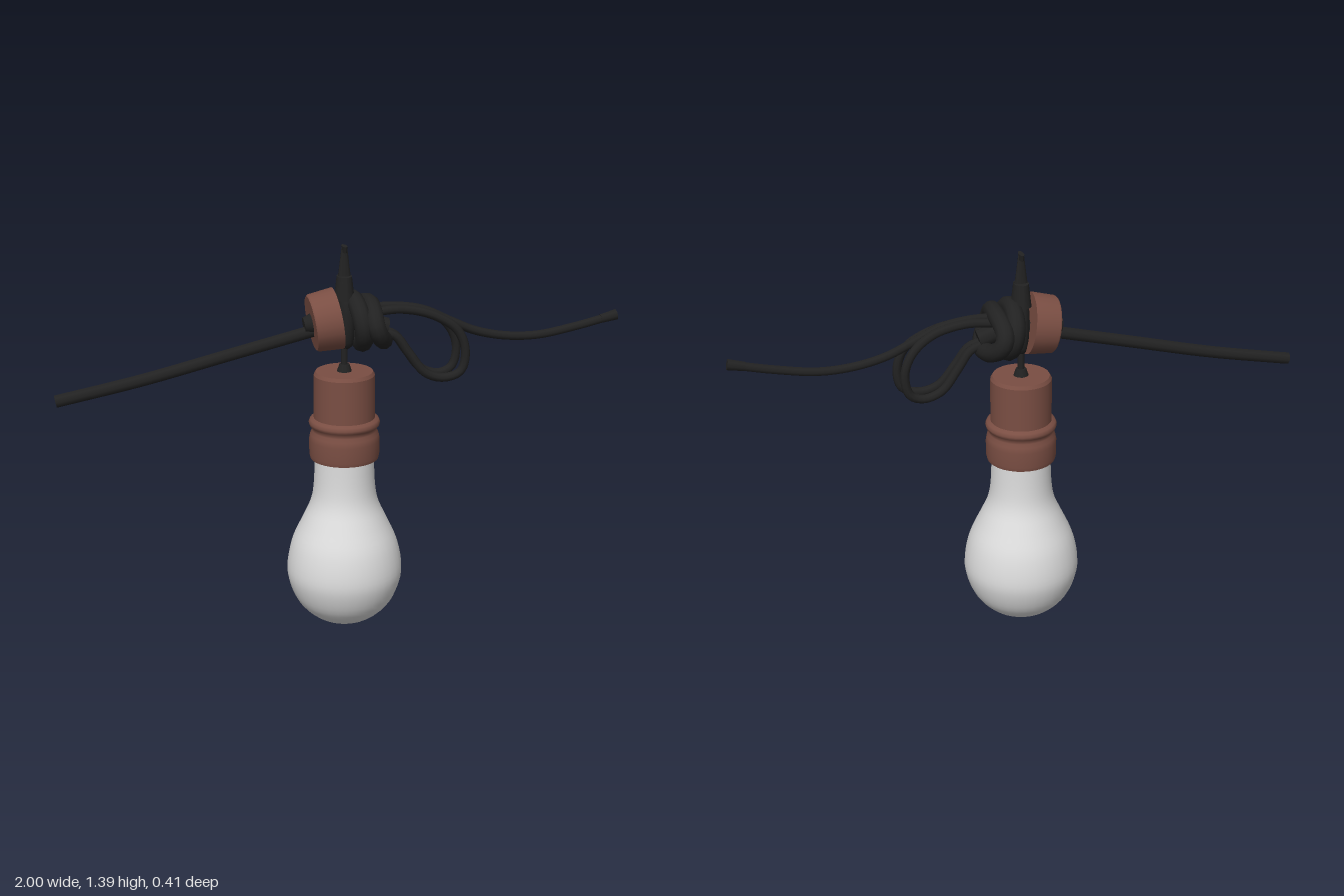
import * as THREE from 'three';

const rubber = new THREE.MeshStandardMaterial({ color: 0x222222 });
rubber.name = 'black rubber';
const bakelite = new THREE.MeshStandardMaterial({ color: 0x7a4e43 });
bakelite.name = 'brown bakelite';
const glass = new THREE.MeshStandardMaterial({ color: 0xdcdcdc });
glass.name = 'frosted glass';

const V = (x, y, z = 0) => new THREE.Vector3(x, y, z);

export function createModel() {
  const model = new THREE.Group();
  model.name = 'hangingBulb';

  const add = (name, geometry, material, parent = model) => {
    const mesh = new THREE.Mesh(geometry, material);
    mesh.name = name;
    parent.add(mesh);
    return mesh;
  };

  // Cable through points, with a flat disc on each end
  const cable = (name, points, radius, segments = 32, sides = 8) => {
    const group = new THREE.Group();
    group.name = name;
    model.add(group);
    const curve = new THREE.CatmullRomCurve3(points.map((p) => V(...p)));
    add(name + 'Run', new THREE.TubeGeometry(curve, segments, radius, sides), rubber, group);
    for (const t of [0, 1]) {
      const cap = add(name + 'End', new THREE.CircleGeometry(radius, sides), rubber, group);
      const out = curve.getTangent(t).multiplyScalar(t ? 1 : -1);
      cap.position.copy(curve.getPoint(t));
      cap.quaternion.setFromUnitVectors(V(0, 0, 1), out);
    }
  };

  // Closed oval coil of cable around the x axis
  const coil = (name, x, y, ry, rz, radius, lean, twist) => {
    const points = [];
    for (let i = 0; i < 16; i++) {
      const a = (i / 16) * Math.PI * 2;
      points.push(V(x + lean * Math.cos(a) + twist * Math.cos(2 * a), y + ry * Math.cos(a), rz * Math.sin(a)));
    }
    const curve = new THREE.CatmullRomCurve3(points, true);
    add(name, new THREE.TubeGeometry(curve, 40, radius, 10, true), rubber);
  };

  const lathe = (profile, sides) =>
    new THREE.LatheGeometry(profile.map((p) => new THREE.Vector2(...p)), sides);

  // Glass bulb
  const outline = new THREE.SplineCurve([
    [0, 0.003], [0.06, 0.01], [0.12, 0.04], [0.172, 0.095], [0.202, 0.17], [0.206, 0.235], [0.188, 0.32],
    [0.152, 0.4], [0.121, 0.47], [0.109, 0.54], [0.105, 0.65],
  ].map((p) => new THREE.Vector2(...p)));
  const glassProfile = outline.getPoints(36);
  glassProfile[0].set(0, 0);
  add('bulb', new THREE.LatheGeometry(glassProfile, 36), glass);

  // Socket: doubled profile points keep the edges crisp
  add('socket', lathe([
    [0.09, 0.636], [0.121, 0.636], [0.121, 0.636], [0.124, 0.65], [0.125, 0.705], [0.121, 0.725],
    [0.114, 0.738], [0.114, 0.75], [0.123, 0.757], [0.126, 0.768], [0.121, 0.779], [0.108, 0.785],
    [0.108, 0.785], [0.107, 0.94], [0.107, 0.94], [0.1, 0.952], [0.1, 0.952], [0, 0.952],
  ], 32), bakelite);

  // Cord rising from the socket
  add('socketGrommet', new THREE.CylinderGeometry(0.018, 0.028, 0.03, 12), rubber).position.y = 0.962;
  add('hangingCord', new THREE.CylinderGeometry(0.012, 0.012, 0.2, 8), rubber).position.y = 1.05;

  // Brown cup on the supply cable
  const cup = new THREE.Group();
  cup.name = 'cableCup';
  cup.position.set(-0.07, 1.136, 0);
  cup.rotation.z = -Math.PI / 2 + 0.15;
  model.add(cup);
  add('cupShell', lathe([
    [0, -0.046], [0.095, -0.046], [0.095, -0.046], [0.1, -0.04], [0.108, 0.046], [0.108, 0.046], [0, 0.046],
  ], 24), bakelite, cup);
  add('cupBoot', new THREE.CylinderGeometry(0.036, 0.026, 0.03, 12), rubber, cup).position.y = -0.058;

  // Supply cable on the model's right
  cable('supplyCable', [[-0.995, 0.909], [-0.7, 0.965], [-0.4, 1.035], [-0.1, 1.105]], 0.022, 20);

  // Knot: two wide coils and an upright wrap
  coil('innerCoil', 0.045, 1.13, 0.075, 0.1, 0.032, -0.012, 0);
  coil('outerCoil', 0.1, 1.125, 0.062, 0.122, 0.032, -0.022, 0.012);
  coil('uprightWrap', 0.004, 1.145, 0.09, 0.022, 0.028, 0, 0);
  cable('knotCore', [[-0.05, 1.13], [0.05, 1.13], [0.15, 1.1]], 0.034, 12);

  // Tapered tie standing on the knot
  const tieBase = add('tieBase', new THREE.CylinderGeometry(0.034, 0.046, 0.08, 12), rubber);
  tieBase.position.set(0, 1.25, 0);
  tieBase.scale.x = 0.78;
  const tieTip = add('tieTip', new THREE.CylinderGeometry(0.01, 0.024, 0.11, 10), rubber);
  tieTip.position.set(0, 1.335, 0);
  tieTip.scale.z = 0.5;
  const tieKnob = add('tieKnob', new THREE.CylinderGeometry(0.027, 0.022, 0.022, 10), rubber);
  tieKnob.position.set(0, 1.383, 0);
  tieKnob.scale.x = 0.35;

  // Pair of hanging loops that spread toward the bend
  for (const side of [1, -1]) {
    const dx = side * 0.007;
    cable(side > 0 ? 'leftLoop' : 'rightLoop', [
      [0.1, 1.16, 0.012 * side], [0.2, 1.165, 0.014 * side], [0.31, 1.14, 0.02 * side],
      [0.39 + dx, 1.085, 0.03 * side], [0.42 + dx, 1.01, 0.034 * side], [0.405 + dx, 0.935, 0.034 * side],
      [0.35, 0.914, 0.032 * side], [0.285, 0.935, 0.028 * side], [0.225, 1.01, 0.022 * side],
      [0.18, 1.07, 0.017 * side], [0.12, 1.09, 0.014 * side],
    ], 0.016, 48);
  }

  // Loose tail on the model's left
  cable('tailCable', [
    [0.08, 1.175], [0.18, 1.175], [0.28, 1.157], [0.38, 1.11], [0.47, 1.07],
    [0.58, 1.045], [0.7, 1.04], [0.84, 1.062], [0.995, 1.097],
  ], 0.0155, 40);
  const tip = add('tailTip', new THREE.CylinderGeometry(0.02, 0.0165, 0.06, 8), rubber);
  tip.position.set(0.968, 1.091, 0);
  tip.rotation.z = -Math.PI / 2 + 0.22;

  return model;
}
